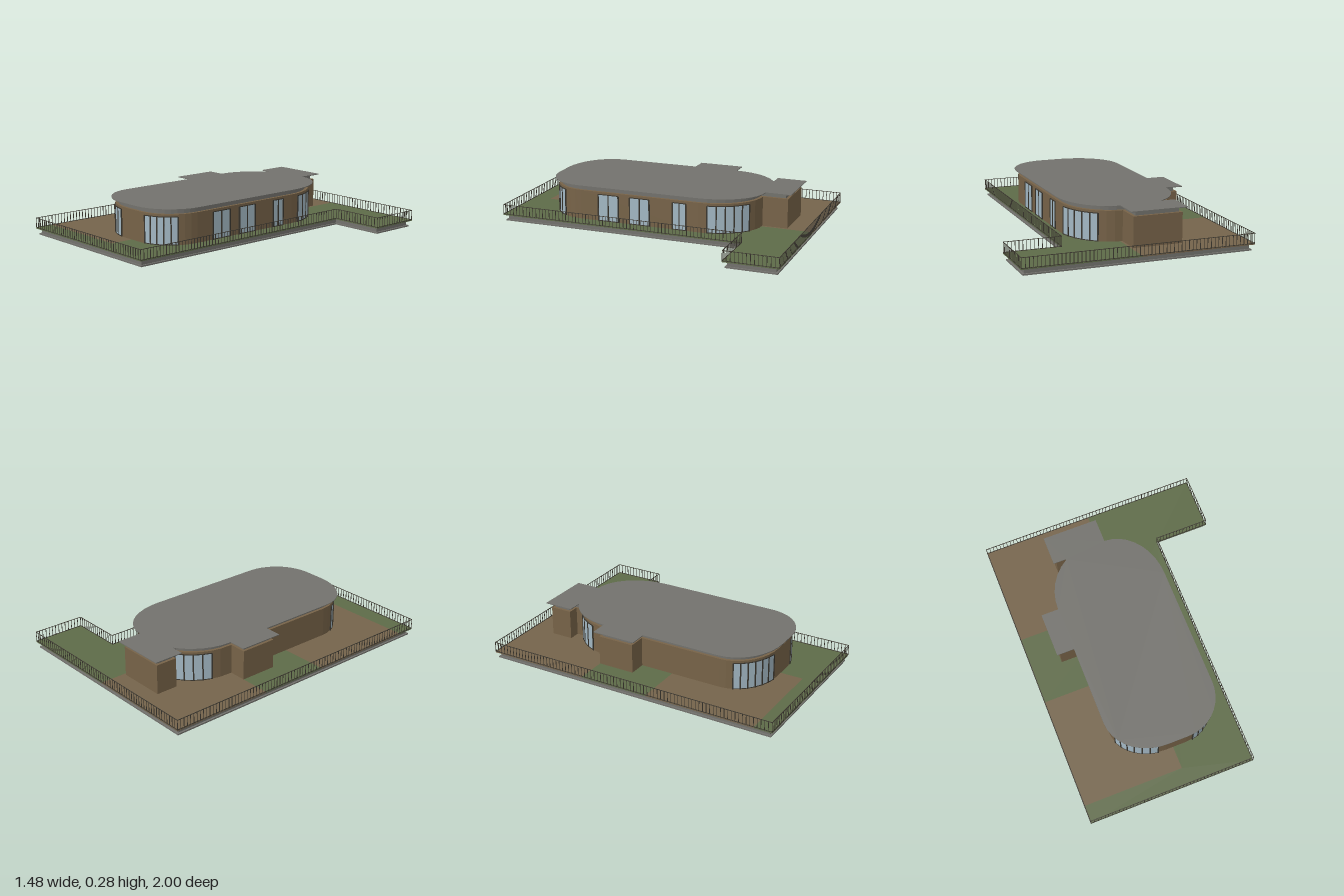
import * as THREE from 'three';
import { mergeGeometries } from 'three/addons/utils/BufferGeometryUtils.js';

const mat = (name, color) => {
  const m = new THREE.MeshStandardMaterial({ color });
  m.name = name;
  return m;
};

export function createModel() {
  const model = new THREE.Group();
  const concrete = mat('concrete grey', 0x73726d);
  const timber = mat('wall brown', 0x776348);
  const earth = mat('terrace brown', 0x75644b);
  const grass = mat('grass green', 0x5e6b48);
  const glass = mat('window glass', 0xa3b8c4);
  const metal = mat('dark metal', 0x3b372f);

  const add = (name, geo, material) => {
    const mesh = new THREE.Mesh(geo, material);
    mesh.name = name;
    model.add(mesh);
  };

  // Upright prism over an outline of [x, z] points
  const slab = (name, pts, y0, y1, material) => {
    const shape = new THREE.Shape(pts.map(([x, z]) => new THREE.Vector2(x, -z)));
    const geo = new THREE.ExtrudeGeometry(shape, { depth: y1 - y0, bevelEnabled: false });
    add(name, geo.rotateX(-Math.PI / 2).translate(0, y0, 0), material);
  };

  // L-shaped platform outline, moved inwards by d
  const plot = (d) => [
    [-0.738 + d, -1 + d], [0.738 - d, -1 + d], [0.738 - d, -0.65 - d],
    [0.375 - d, -0.65 - d], [0.375 - d, 1 - d], [-0.738 + d, 1 - d],
  ];
  slab('footing', plot(0.014), 0, 0.009, concrete);
  slab('platform', plot(0.026), 0.009, 0.039, concrete);

  // Ground surfaces
  slab('lawn', [
    [0, -1], [0.738, -1], [0.738, -0.65], [0.375, -0.65], [0.375, 1], [-0.738, 1],
    [-0.738, 0.88], [-0.07, 0.88], [-0.07, 0.145], [-0.738, 0.145], [-0.738, -0.32], [0, -0.32],
  ], 0.039, 0.045, grass);
  slab('backTerrace', [[-0.738, -1], [0, -1], [0, -0.32], [-0.738, -0.32]], 0.039, 0.045, earth);
  slab('frontTerrace', [[-0.738, 0.145], [-0.07, 0.145], [-0.07, 0.88], [-0.738, 0.88]], 0.039, 0.045, earth);

  // Rounded corner in steps of ten degrees; sx and sz pick the quadrant
  const corner = (cx, cz, rx, rz, sx, sz, last = 9) =>
    Array.from({ length: last + 1 }, (_, i) => {
      const a = (i * Math.PI) / 18;
      return [cx + sx * rx * Math.cos(a), cz + sz * rz * Math.sin(a)];
    });
  const corners = (d) => ({
    frontLeft: corner(0.02, 0.48, 0.275 - d, 0.275 - d, 1, 1),
    frontRight: corner(-0.12, 0.48, 0.325 - d, 0.275 - d, -1, 1),
    backLeft: corner(0.01 - d, -0.33, 0.285, 0.36 - d, 1, -1),
    backRight: corner(-0.1, -0.345, 0.345 - d, 0.36 - d, -1, -1, 6),
  });
  // House outline with its two square bays, moved inwards by d
  const house = (d) => {
    const c = corners(d);
    return [
      ...c.frontLeft, ...c.frontRight.reverse(),
      [-0.445 + d, -0.05 - d], [-0.56 + d, -0.05 - d],
      [-0.56 + d, -0.345 + d], [-0.445 + d, -0.345 + d],
      ...c.backRight.slice(1), [c.backRight[6][0], -0.66 - d],
      [-0.36 + d, -0.66 - d], [-0.36 + d, -0.855 + d], [0.01 - d, -0.855 + d],
      ...c.backLeft.reverse(),
    ];
  };
  slab('walls', house(0.025), 0.045, 0.238, timber);
  slab('roofBand', house(0.043), 0.238, 0.27, concrete);
  slab('roof', house(0), 0.27, 0.275, concrete);

  // Window panes between two wall points, with mullions and a head rail
  const panes = [];
  const frames = [];
  const y0 = 0.045, y1 = 0.222;
  const bar = (w, h, depth, x, y, z, turn) =>
    new THREE.BoxGeometry(w, h, depth).rotateY(turn).translate(x, y, z);
  const pane = ([ax, az], [bx, bz]) => {
    const len = Math.hypot(bx - ax, bz - az);
    const turn = Math.atan2(az - bz, bx - ax);
    const mx = (ax + bx) / 2, mz = (az + bz) / 2, my = (y0 + y1) / 2;
    panes.push(bar(len, y1 - y0, 0.006, mx, my, mz, turn));
    for (const [x, z] of [[ax, az], [bx, bz]]) frames.push(bar(0.008, y1 - y0, 0.012, x, my, z, turn));
    frames.push(bar(len, 0.005, 0.01, mx, y1, mz, turn));
    frames.push(bar(len, 0.005, 0.01, mx, y0 + 0.003, mz, turn));
  };
  const c = corners(0.025);
  for (const [key, from, to] of [['frontLeft', 3, 8], ['frontRight', 2, 8], ['backLeft', 1, 6], ['backRight', 2, 6]]) {
    for (let i = from; i < to; i++) pane(c[key][i], c[key][i + 1]);
  }
  for (const [z0, z1] of [[0.215, 0.355], [0, 0.135], [-0.25, -0.16]]) {
    const mid = (z0 + z1) / 2;
    pane([0.27, z0], [0.27, mid]);
    pane([0.27, mid], [0.27, z1]);
  }
  add('windowGlass', mergeGeometries(panes), glass);
  add('windowFrames', mergeGeometries(frames), metal);

  // Railing along every edge of the platform
  const rails = [];
  const edge = plot(0.002);
  edge.forEach(([ax, az], i) => {
    const [bx, bz] = edge[(i + 1) % edge.length];
    const len = Math.hypot(bx - ax, bz - az);
    const turn = Math.atan2(az - bz, bx - ax);
    const count = Math.round(len / 0.024);
    for (let k = 0; k < count; k++) {
      const t = k / count;
      rails.push(bar(0.003, 0.065, 0.003, ax + (bx - ax) * t, 0.0775, az + (bz - az) * t, turn));
    }
    for (const y of [0.047, 0.11]) {
      rails.push(bar(len, 0.003, 0.004, (ax + bx) / 2, y, (az + bz) / 2, turn));
    }
  });
  add('railing', mergeGeometries(rails), metal);

  return model;
}
